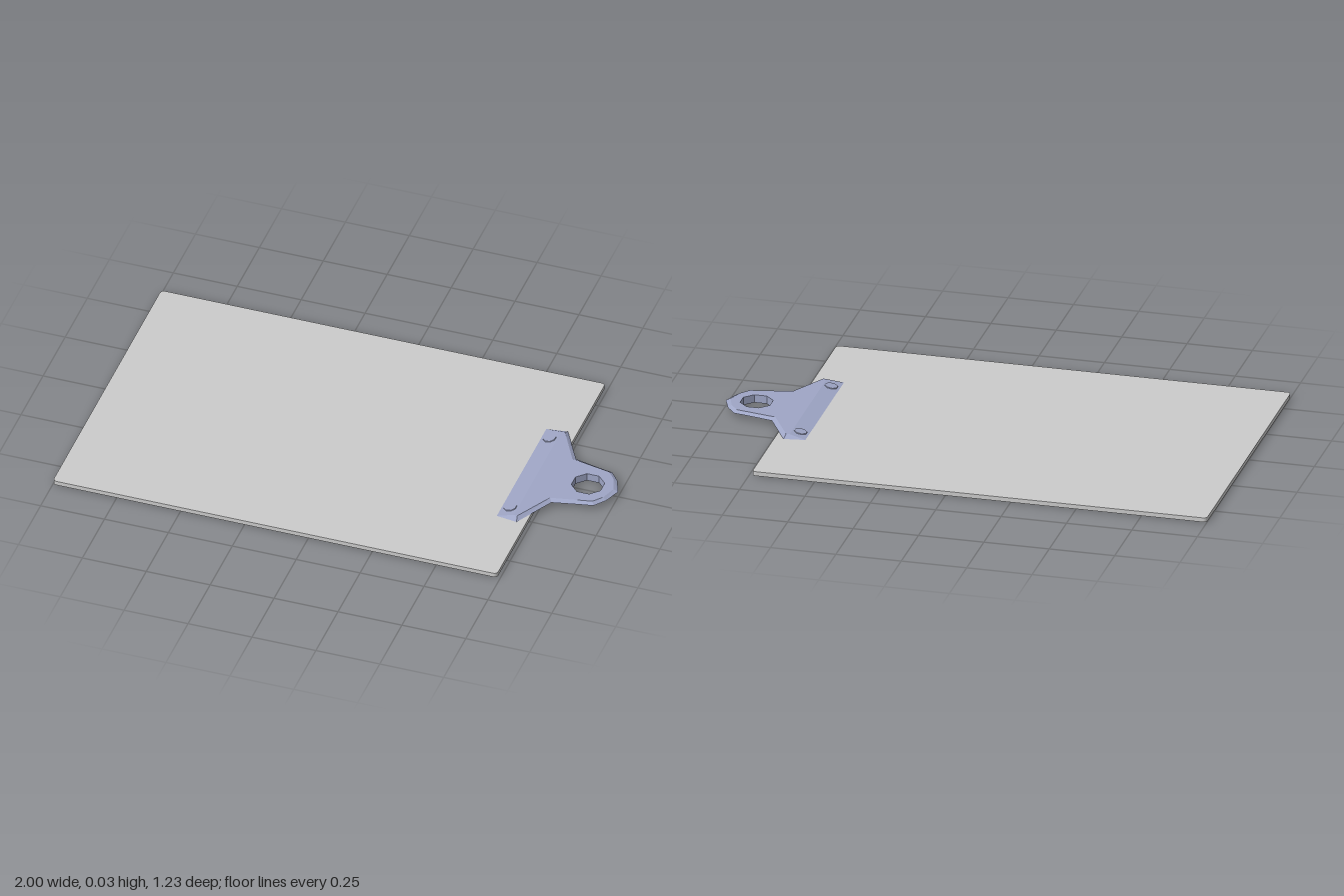
import * as THREE from 'three';

const boardMat = new THREE.MeshStandardMaterial({ color: 0xcccccc, flatShading: true });
const clipMat = new THREE.MeshStandardMaterial({ color: 0x9fa6c6, flatShading: true, side: THREE.DoubleSide });

function add(parent, name, geometry, material) {
  const mesh = new THREE.Mesh(geometry, material);
  mesh.name = name;
  parent.add(mesh);
  return mesh;
}

// Flat board with small rounded corners
function boardGeometry() {
  const x0 = -1, x1 = 0.738, w = 0.613, r = 0.015;
  const s = new THREE.Shape();
  s.absarc(x1 - r, w - r, r, 0, Math.PI / 2);
  s.absarc(x0 + r, w - r, r, Math.PI / 2, Math.PI);
  s.absarc(x0 + r, r - w, r, Math.PI, Math.PI * 1.5);
  s.absarc(x1 - r, r - w, r, Math.PI * 1.5, Math.PI * 2);
  const g = new THREE.ExtrudeGeometry(s, { depth: 0.017, bevelEnabled: false, curveSegments: 3 });
  return g.rotateX(-Math.PI / 2).translate(0, 0.001, 0);
}

// Half outlines of the clip: [x, z, y] of the rim, [x, z] of the raised top
const rimHalf = [[0.622, 0.28, 0.019], [0.703, 0.291, 0.019], [0.787, 0.14, 0.021],
  [0.885, 0.118, 0.021], [0.94, 0.107, 0.021], [0.975, 0.064, 0.022], [1, 0, 0.023]];
const topHalf = [[0.685, 0.268], [0.698, 0.27], [0.777, 0.126],
  [0.882, 0.105], [0.932, 0.095], [0.962, 0.058], [0.982, 0]];
const TOP = 0.031, HOLE_X = 0.882, HOLE_R = 0.062;

// Close a half outline by mirroring it in z (the tip is shared)
const mirror = (half) => [...half, ...half.slice(0, -1).reverse().map(([x, z, y]) => [x, -z, y])];

function skirtGeometry() {
  const rim = mirror(rimHalf), top = mirror(topHalf), pos = [], idx = [], n = rim.length;
  for (let i = 0; i < n; i++) {
    pos.push(rim[i][0], rim[i][2], rim[i][1], top[i][0], TOP, top[i][1]);
    const a = 2 * i, b = 2 * ((i + 1) % n);
    idx.push(a, b, b + 1, a, b + 1, a + 1);
  }
  const g = new THREE.BufferGeometry();
  g.setAttribute('position', new THREE.Float32BufferAttribute(pos, 3));
  g.setIndex(idx);
  g.computeVertexNormals();
  return g;
}

function plateGeometry() {
  const s = new THREE.Shape(mirror(topHalf).map(([x, z]) => new THREE.Vector2(x, -z)));
  const hole = [];
  for (let i = 0; i < 8; i++) {
    const a = Math.PI / 8 + i * Math.PI / 4;
    hole.push(new THREE.Vector2(HOLE_X + HOLE_R * Math.cos(a), HOLE_R * Math.sin(a)));
  }
  s.holes.push(new THREE.Path(hole));
  return new THREE.ShapeGeometry(s).rotateX(-Math.PI / 2).translate(0, TOP, 0);
}

export function createModel() {
  const model = new THREE.Group();
  model.name = 'clipboard';
  add(model, 'board', boardGeometry(), boardMat);

  // Pressed metal clip with a collar around its hanging hole
  const clip = new THREE.Group();
  clip.name = 'clip';
  model.add(clip);
  add(clip, 'clipTop', plateGeometry(), clipMat);
  add(clip, 'clipSkirt', skirtGeometry(), clipMat);
  const collar = new THREE.CylinderGeometry(HOLE_R, HOLE_R, TOP, 8, 1, true, Math.PI / 8);
  add(clip, 'holeCollar', collar, clipMat).position.set(HOLE_X, TOP / 2, 0);

  // Rivets: broad head on the sloping jaw, thin pin through the board
  for (const side of [-1, 1]) {
    const head = new THREE.CylinderGeometry(0.024, 0.026, 0.004, 8, 1, false, Math.PI / 8);
    const rivet = add(clip, 'rivetHead', head, clipMat);
    rivet.position.set(0.655, 0.026, side * 0.222);
    rivet.rotation.z = 0.188;
    const pin = new THREE.CylinderGeometry(0.012, 0.012, 0.024, 8);
    add(clip, 'rivetPin', pin, clipMat).position.set(0.655, 0.012, side * 0.222);
  }
  return model;
}
